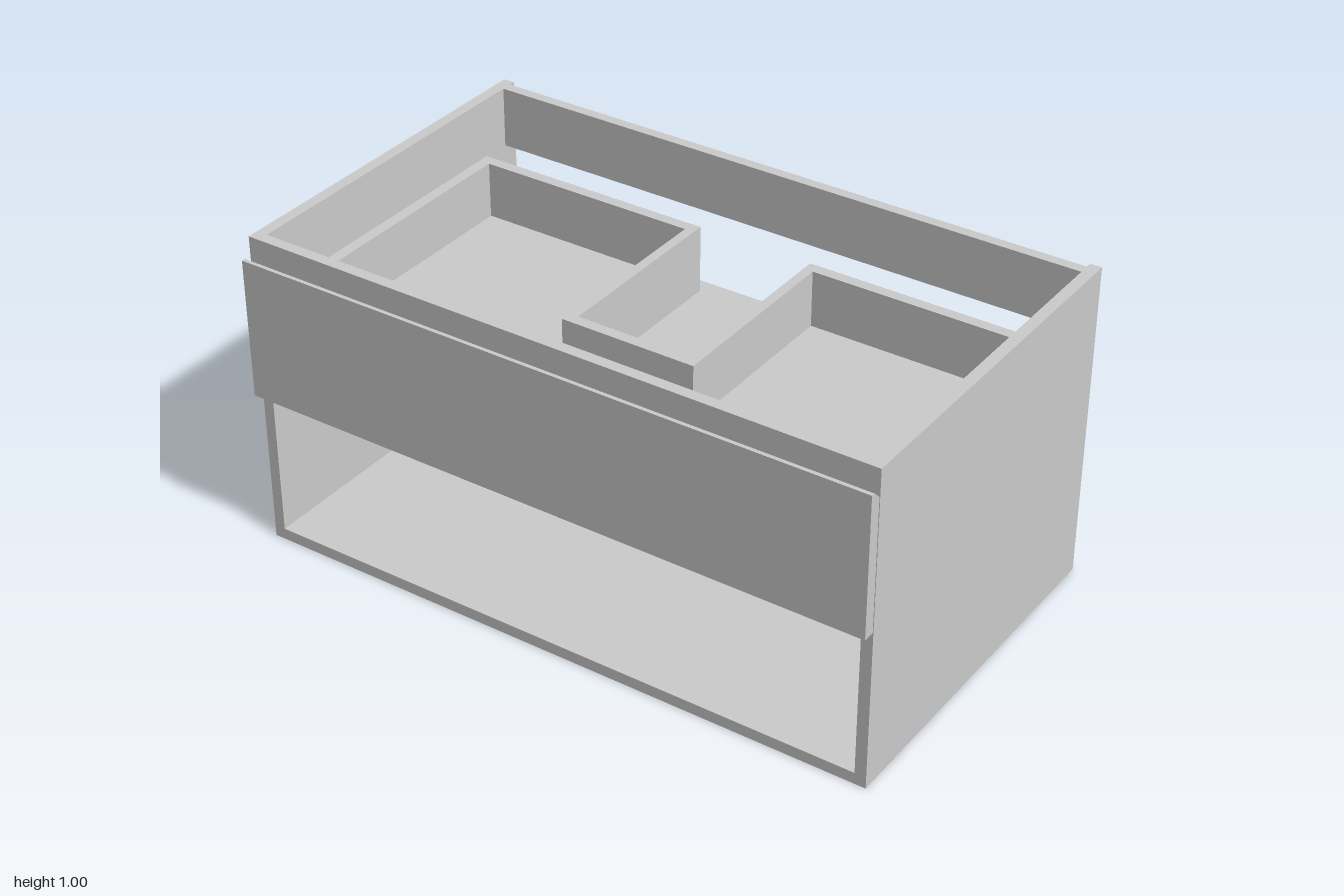
import * as THREE from 'three';

export function createModel() {
  const group = new THREE.Group();
  group.name = 'vanityCabinet';
  const material = new THREE.MeshStandardMaterial({ color: 0xcccccc, flatShading: true });

  function add(name, geometry, parent) {
    const mesh = new THREE.Mesh(geometry, material);
    mesh.name = name;
    parent.add(mesh);
    return mesh;
  }
  // Board given by its extents along each axis
  function board(name, [x0, x1], [y0, y1], [z0, z1], parent) {
    const mesh = add(name, new THREE.BoxGeometry(x1 - x0, y1 - y0, z1 - z0), parent);
    mesh.position.set((x0 + x1) / 2, (y0 + y1) / 2, (z0 + z1) / 2);
  }
  // Same board on both sides of x = 0
  function pair(name, [x0, x1], y, z, parent) {
    board(name + 'Left', [x0, x1], y, z, parent);
    board(name + 'Right', [-x1, -x0], y, z, parent);
  }
  function shapeOf(points) {
    return new THREE.Shape(points.map(([x, y]) => new THREE.Vector2(x, y)));
  }

  const back = -0.597, front = 0.56, inner = 0.965;
  const span = [-inner, inner];

  // Carcass
  const carcass = new THREE.Group();
  carcass.name = 'carcass';
  group.add(carcass);
  pair('sidePanel', [inner, 1], [0, 1], [back, front], carcass);
  board('bottomPanel', span, [0, 0.036], [back, front], carcass);
  board('middleShelf', span, [0.5, 0.535], [back, front], carcass);
  board('lowerBackPanel', span, [0.036, 0.5], [-0.578, -0.545], carcass);
  board('upperBackRail', span, [0.81, 1], [-0.578, -0.545], carcass);
  board('upperFrontRail', span, [0.88, 1], [0.525, front], carcass);

  // Drawer with a plumbing notch at the back
  const drawer = new THREE.Group();
  drawer.name = 'drawer';
  group.add(drawer);
  const w = 0.955, n = 0.185, t = 0.035, rear = -0.44, notch = 0.16;
  const wallY = [0.645, 0.822];

  // U-shaped floor; shape y becomes -z
  const floor = add('drawerFloor', new THREE.ExtrudeGeometry(shapeOf([
    [-w, -front], [w, -front], [w, -rear], [n, -rear],
    [n, -notch], [-n, -notch], [-n, -rear], [-w, -rear],
  ]), { depth: 0.035, bevelEnabled: false }), drawer);
  floor.rotation.x = -Math.PI / 2;
  floor.position.y = 0.61;

  pair('drawerSide', [w - t, w], wallY, [rear, front], drawer);
  pair('drawerBack', [n, w - t], wallY, [rear, rear + t], drawer);
  pair('notchSide', [n, n + 0.03], wallY, [rear + t, notch + t], drawer);
  board('notchFront', [-n, n], wallY, [notch, notch + t], drawer);

  // Drawer front with a bevelled finger pull; profile in (z, y), extruded along x
  const face = add('drawerFront', new THREE.ExtrudeGeometry(shapeOf([
    [-0.597, 0.505], [-front, 0.505], [-front, 0.918], [-0.585, 0.942], [-0.597, 0.942],
  ]), { depth: 1.996, bevelEnabled: false }), drawer);
  face.rotation.y = Math.PI / 2;
  face.position.x = -0.998;

  return group;
}
